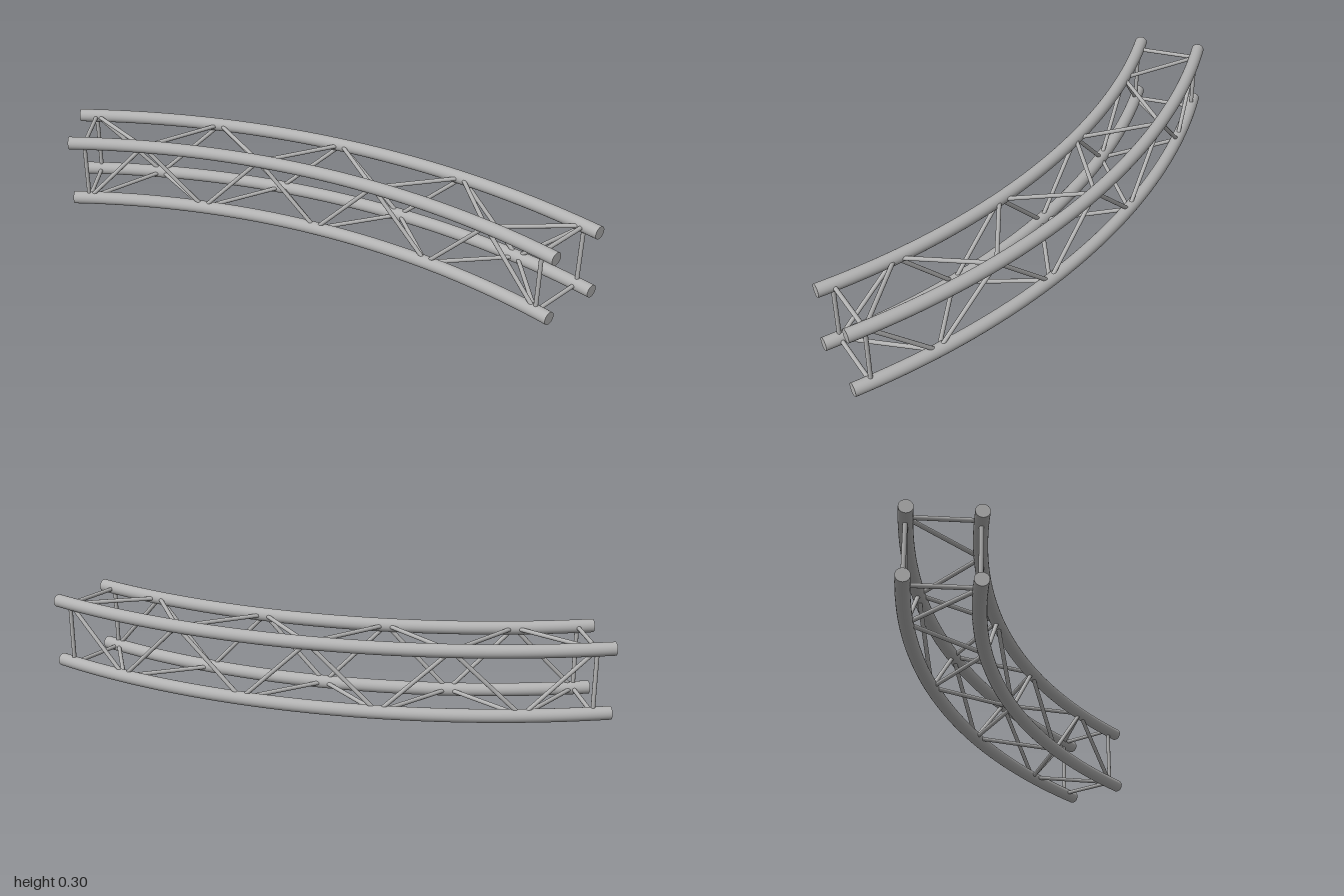
import * as THREE from 'three';

const CX = -2.311, CZ = 1;                 // centre of the bend
const R_IN = 2.559, R_OUT = 2.803;         // bend radii of the chords
const Y_LOW = 0.025, Y_HIGH = 0.272;
const CHORD = 0.025, BAR = 0.008;
const ARC = Math.PI / 4, BAYS = 8;
const START = THREE.MathUtils.degToRad(1.35);

function onArc(radius, angle, y) {
  return new THREE.Vector3(CX + radius * Math.cos(angle), y, CZ - radius * Math.sin(angle));
}

export function createModel() {
  const model = new THREE.Group();
  model.name = 'curvedTruss';
  const metal = new THREE.MeshStandardMaterial({ color: 0xb2b2b2 });
  metal.name = 'greyMetal';

  function add(name, geometry, parent = model) {
    const mesh = new THREE.Mesh(geometry, metal);
    mesh.name = name;
    parent.add(mesh);
    return mesh;
  }

  // Straight round bar between two points
  function bar(name, a, b) {
    const dir = b.clone().sub(a);
    const mesh = add(name, new THREE.CylinderGeometry(BAR, BAR, dir.length(), 14));
    mesh.position.copy(a).add(b).multiplyScalar(0.5);
    mesh.quaternion.setFromUnitVectors(new THREE.Vector3(0, 1, 0), dir.normalize());
  }

  // Four bent chords with flat end caps
  for (const radius of [R_IN, R_OUT]) {
    for (const y of [Y_LOW, Y_HIGH]) {
      const chord = new THREE.Group();
      chord.name = (radius === R_IN ? 'inner' : 'outer') + (y === Y_LOW ? 'Lower' : 'Upper') + 'Chord';
      model.add(chord);
      const tube = add('chordTube', new THREE.TorusGeometry(radius, CHORD, 24, 48, ARC).rotateX(-Math.PI / 2), chord);
      tube.position.set(CX, y, CZ);
      for (const [angle, turn] of [[0, 0], [ARC, Math.PI]]) {
        const cap = add('chordEndCap', new THREE.CircleGeometry(CHORD, 24), chord);
        cap.position.copy(onArc(radius, angle, y));
        cap.rotation.y = angle + turn;
      }
    }
  }

  const nodeAngle = i => START + (ARC - 2 * START) * i / BAYS;

  // Square frame of bars near each end
  for (const i of [0, BAYS]) {
    const t = nodeAngle(i);
    for (const y of [Y_LOW, Y_HIGH]) bar('endCrossBar', onArc(R_IN, t, y), onArc(R_OUT, t, y));
    for (const r of [R_IN, R_OUT]) bar('endUpright', onArc(r, t, Y_LOW), onArc(r, t, Y_HIGH));
  }

  // Zigzag lacing on all four faces, sharing nodes at the chords
  for (let i = 0; i < BAYS; i++) {
    const a = nodeAngle(i), b = nodeAngle(i + 1);
    const even = i % 2 === 0;
    const [o1, o2] = even ? [Y_HIGH, Y_LOW] : [Y_LOW, Y_HIGH];
    const [r1, r2] = even ? [R_OUT, R_IN] : [R_IN, R_OUT];
    bar('outerBrace', onArc(R_OUT, a, o1), onArc(R_OUT, b, o2));
    bar('innerBrace', onArc(R_IN, a, o2), onArc(R_IN, b, o1));
    bar('upperBrace', onArc(r1, a, Y_HIGH), onArc(r2, b, Y_HIGH));
    bar('lowerBrace', onArc(r2, a, Y_LOW), onArc(r1, b, Y_LOW));
  }
  return model;
}
